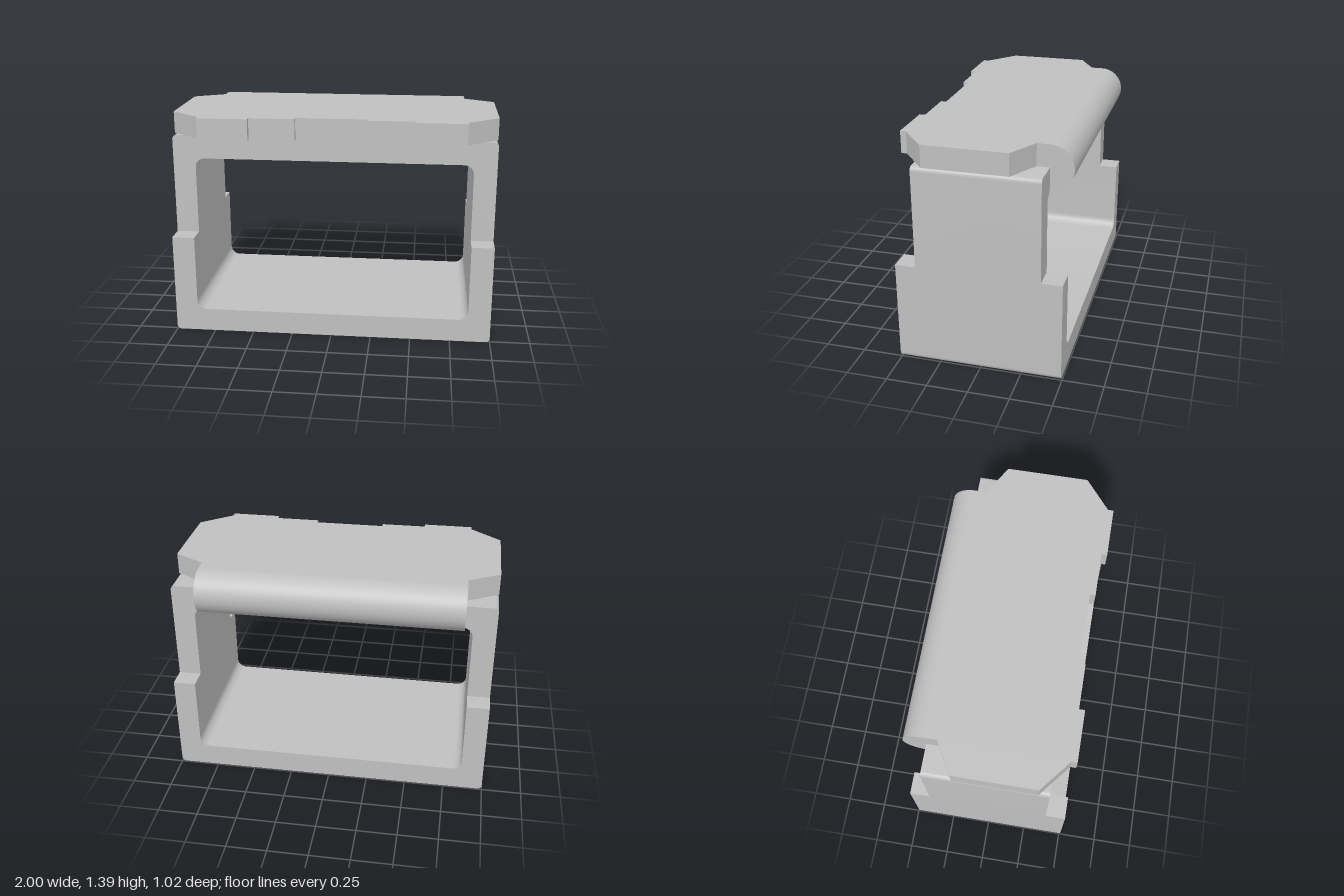
import * as THREE from 'three';
import { toCreasedNormals } from 'three/addons/utils/BufferGeometryUtils.js';

const W = 1, INNER = 0.86;            // half widths of the frame and its opening
const HEIGHT = 1.255, SPLIT = 0.627;  // frame height and height of the ledges
const FLOOR = 0.145, CEILING = 1.11;  // opening bottom and top
const PLATE_TOP = 1.39, PLATE_W = 0.81;

// U-shaped half frame with rounded outer and inner corners
function halfFrame(end, inside) {
  const d = Math.sign(inside - end), R = 0.03, r = 0.06;
  const s = new THREE.Shape();
  s.moveTo(-W, SPLIT);
  s.lineTo(-W, end + d * R);
  s.quadraticCurveTo(-W, end, -W + R, end);
  s.lineTo(W - R, end);
  s.quadraticCurveTo(W, end, W, end + d * R);
  s.lineTo(W, SPLIT);
  s.lineTo(INNER, SPLIT);
  s.lineTo(INNER, inside + d * r);
  s.absarc(INNER - r, inside + d * r, r, 0, -d * Math.PI / 2, d > 0);
  s.lineTo(-INNER + r, inside);
  s.absarc(-INNER + r, inside + d * r, r, -d * Math.PI / 2, -d * Math.PI, d > 0);
  s.lineTo(-INNER, SPLIT);
  s.closePath();
  return s;
}

function extrude(shape, depth) {
  const g = new THREE.ExtrudeGeometry(shape, { depth, bevelEnabled: false, curveSegments: 16 });
  return toCreasedNormals(g, 0.4);
}

export function createModel() {
  const model = new THREE.Group();
  model.name = 'hingedFrame';
  const grey = new THREE.MeshStandardMaterial({ color: 0xc0c0c0 });
  grey.name = 'light grey';

  const add = (name, geometry) => {
    const mesh = new THREE.Mesh(geometry, grey);
    mesh.name = name;
    model.add(mesh);
    return mesh;
  };

  // Frame: deep lower half, narrower upper half
  add('lowerFrame', extrude(halfFrame(0, FLOOR), 1.003).translate(0, 0, -0.494));
  add('upperFrame', extrude(halfFrame(HEIGHT, CEILING), 0.753).translate(0, 0, -0.368));

  // Lid plate: right half of the outline as [x, z], mirrored to the left
  const half = [
    [0.22, 0.44], [0.22, 0.474], [0.5, 0.474], [0.5, 0.509], [PLATE_W, 0.509],
    [PLATE_W, 0.474], [W, 0.32], [W, -0.187], [PLATE_W, -0.292], [PLATE_W, -0.368],
  ];
  const outline = [...half, ...half.map(([x, z]) => [-x, z]).reverse()];
  const plate = new THREE.Shape(outline.map(([x, z]) => new THREE.Vector2(x, -z)));
  add('lidPlate', extrude(plate, PLATE_TOP - HEIGHT).rotateX(-Math.PI / 2).translate(0, HEIGHT, 0));

  // Rounded back edge of the lid, a half cylinder
  const radius = (PLATE_TOP - CEILING) / 2;
  const roll = new THREE.Shape();
  roll.absarc(0, 0, radius, -Math.PI / 2, Math.PI / 2, false);
  roll.closePath();
  add('lidRoll', extrude(roll, PLATE_W * 2).rotateY(Math.PI / 2)
    .translate(-PLATE_W, PLATE_TOP - radius, -0.368));

  return model;
}
